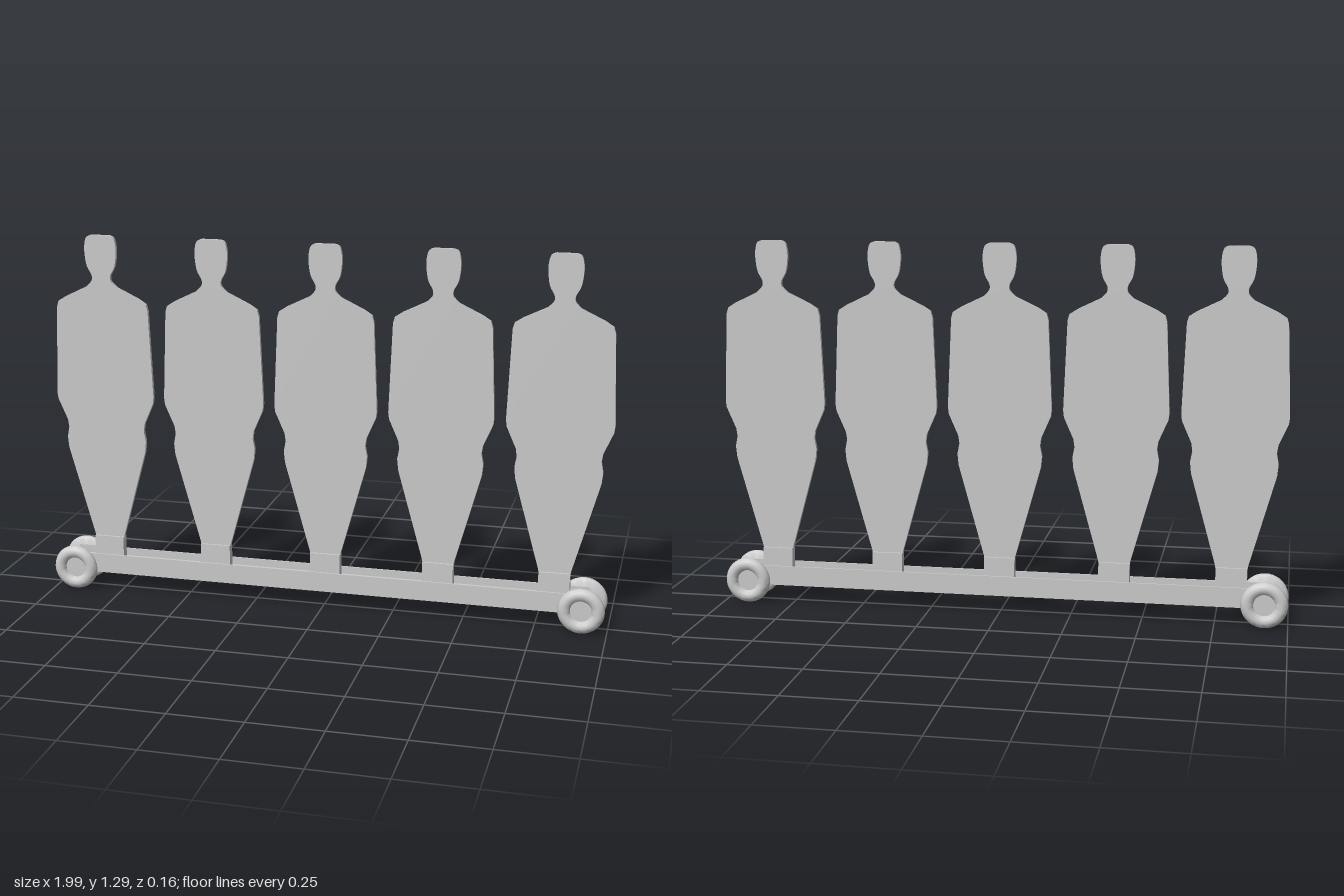
import * as THREE from 'three';
import { toCreasedNormals } from 'three/addons/utils/BufferGeometryUtils.js';

const material = new THREE.MeshStandardMaterial({ color: 0xcccccc });

function add(parent, name, geometry, x = 0, y = 0, z = 0) {
  const mesh = new THREE.Mesh(geometry, material);
  mesh.name = name;
  mesh.position.set(x, y, z);
  parent.add(mesh);
  return mesh;
}

const toPoints = (list) => list.map(([x, y]) => new THREE.Vector2(x, y));

// Flat standing silhouette: one half outline, mirrored
function figureGeometry() {
  const head = new THREE.SplineCurve(toPoints([
    [0.034, 1.294], [0.05, 1.286], [0.057, 1.262], [0.058, 1.23],
    [0.051, 1.185], [0.035, 1.154], [0.036, 1.133], [0.056, 1.112],
  ])).getPoints(28);
  const body = toPoints([
    [0.135, 1.074], [0.163, 1.056], [0.169, 1.035], [0.182, 0.725], [0.179, 0.7],
    [0.146, 0.625], [0.142, 0.597], [0.149, 0.56], [0.145, 0.52], [0.056, 0.2], [0.045, 0.12],
  ]);
  const half = [...head, ...body];
  const mirrored = half.map((p) => new THREE.Vector2(-p.x, p.y)).reverse();
  const geometry = new THREE.ExtrudeGeometry(new THREE.Shape([...half, ...mirrored]), {
    depth: 0.014, bevelEnabled: false,
  });
  geometry.translate(0, 0, -0.007);
  return toCreasedNormals(geometry, 0.5);
}

// Shallow U channel running along x
function channelGeometry(length) {
  const section = new THREE.Shape(toPoints([
    [-0.044, 0.064], [0.044, 0.064], [0.044, 0.134], [0.038, 0.134],
    [0.038, 0.107], [-0.038, 0.107], [-0.038, 0.134], [-0.044, 0.134],
  ]));
  const geometry = new THREE.ExtrudeGeometry(section, { depth: length, bevelEnabled: false });
  geometry.translate(0, 0, -length / 2);
  geometry.rotateY(Math.PI / 2);
  return geometry;
}

// Wheel with flat inner face, rounded tyre and recessed hub, facing +z
function wheelGeometry() {
  const profile = toPoints([
    [0, 0], [0.07, 0], [0.077, 0.005], [0.081, 0.013], [0.078, 0.022], [0.07, 0.03],
    [0.059, 0.034], [0.047, 0.031], [0.039, 0.024], [0.037, 0.017], [0, 0.017],
  ]);
  const geometry = new THREE.LatheGeometry(profile, 40);
  geometry.rotateX(Math.PI / 2);
  return toCreasedNormals(geometry, 0.9);
}

export function createModel() {
  const model = new THREE.Group();
  model.name = 'rollingTargetRow';

  add(model, 'baseChannel', channelGeometry(1.876), -0.005);

  // Five figures, each held in a foot bracket
  const figure = figureGeometry();
  const bracket = new THREE.BoxGeometry(0.108, 0.092, 0.03);
  for (let i = 0; i < 5; i++) {
    const x = 0.004 + (i - 2) * 0.404;
    add(model, `figure${i + 1}`, figure, x);
    add(model, `footBracket${i + 1}`, bracket, x, 0.148, 0);
  }

  // Wheels at the four corners
  const wheel = wheelGeometry();
  for (const side of [-1, 1]) {
    for (const end of [-1, 1]) {
      const mesh = add(model, `${side > 0 ? 'front' : 'back'}${end > 0 ? 'Left' : 'Right'}Wheel`,
        wheel, -0.004 + end * 0.915, 0.082, side * 0.045);
      if (side < 0) mesh.rotation.y = Math.PI;
    }
  }
  return model;
}
